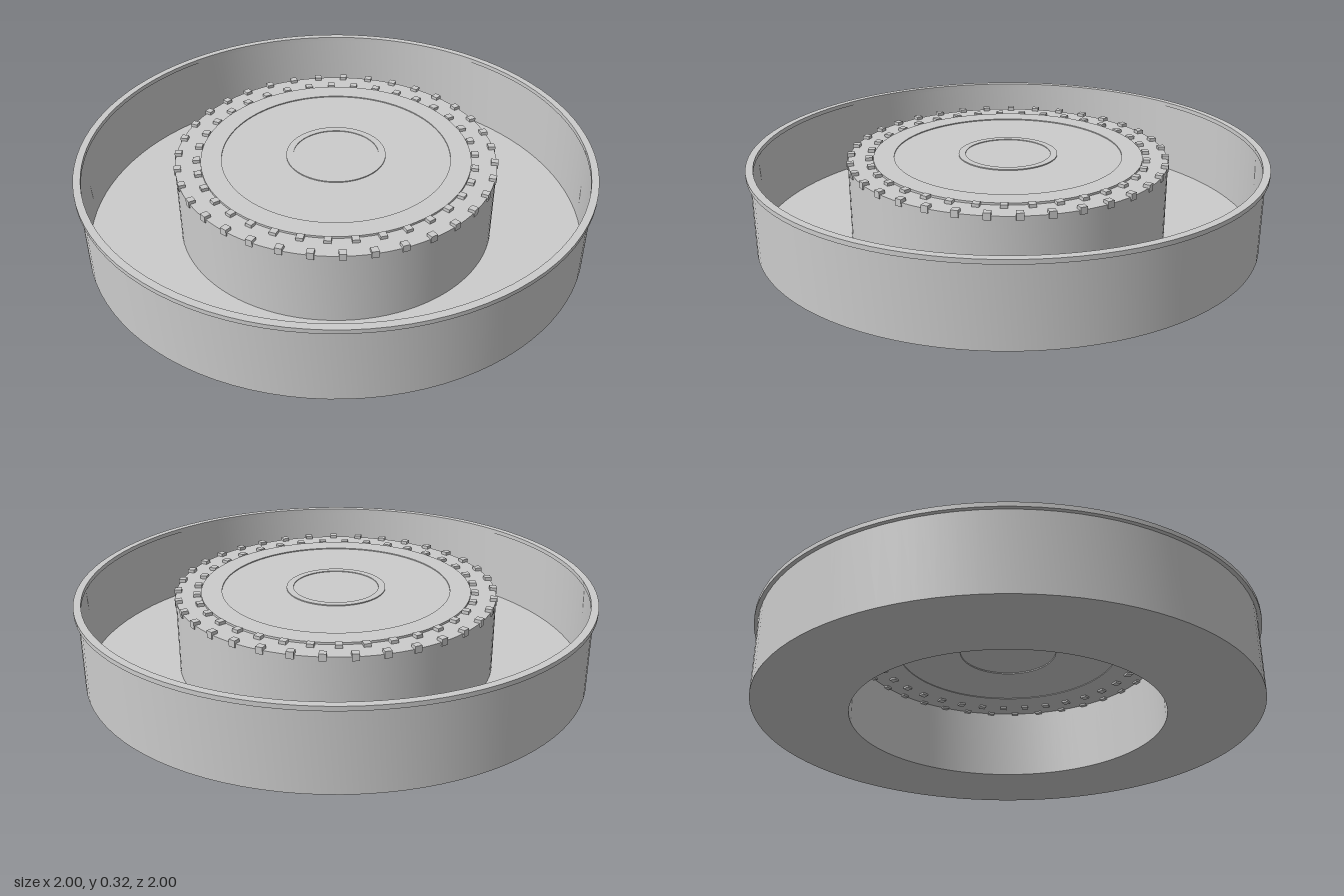
import * as THREE from 'three';
import { toCreasedNormals } from 'three/addons/utils/BufferGeometryUtils.js';

const material = new THREE.MeshStandardMaterial({ color: 0xcccccc, side: THREE.DoubleSide });

// Revolved part from [radius, height] pairs, with crisp profile corners
function turned(name, profile) {
  const points = profile.map(([r, y]) => new THREE.Vector2(r, y));
  const geometry = toCreasedNormals(new THREE.LatheGeometry(points, 96), 0.5);
  const mesh = new THREE.Mesh(geometry, material);
  mesh.name = name;
  return mesh;
}

// Circle of small cubes, each turned to face outward
function studRing(name, count, radius, start, size, y) {
  const ring = new THREE.Group();
  ring.name = name;
  const geometry = new THREE.BoxGeometry(size, size, size);
  for (let i = 0; i < count; i++) {
    const angle = start + (i / count) * Math.PI * 2;
    const stud = new THREE.Mesh(geometry, material);
    stud.name = 'stud';
    stud.position.set(Math.cos(angle) * radius, y, Math.sin(angle) * radius);
    stud.rotation.y = -angle;
    ring.add(stud);
  }
  return ring;
}

export function createModel() {
  const model = new THREE.Group();
  model.name = 'roundTray';

  // Thin outer wall, ring-shaped floor and hollow central drum wall
  model.add(turned('basin', [
    [0.617, 0.297], [0.617, 0], [0.985, 0], [0.985, 0.31],
    [0.978, 0.31], [0.978, 0.008], [0.622, 0.008], [0.622, 0.297],
  ]));

  // Flat lip around the top of the outer wall
  model.add(turned('rim', [
    [0.972, 0.305], [1, 0.305], [1, 0.322], [0.972, 0.322], [0.972, 0.305],
  ]));

  // Thin drum lid with shallow concentric steps on both faces
  model.add(turned('drumLid', [
    [0, 0.302], [0.193, 0.302], [0.193, 0.297], [0.444, 0.297], [0.444, 0.294],
    [0.622, 0.294], [0.622, 0.301], [0.524, 0.301], [0.524, 0.309], [0.444, 0.309],
    [0.444, 0.305], [0.193, 0.305], [0.193, 0.309], [0.166, 0.309], [0.166, 0.306], [0, 0.306],
  ]));

  // Two staggered rings of studs passing through the lid
  model.add(studRing('outerStuds', 35, 0.613, Math.PI, 0.027, 0.3));
  model.add(studRing('innerStuds', 35, 0.54, 0, 0.027, 0.3));

  return model;
}
